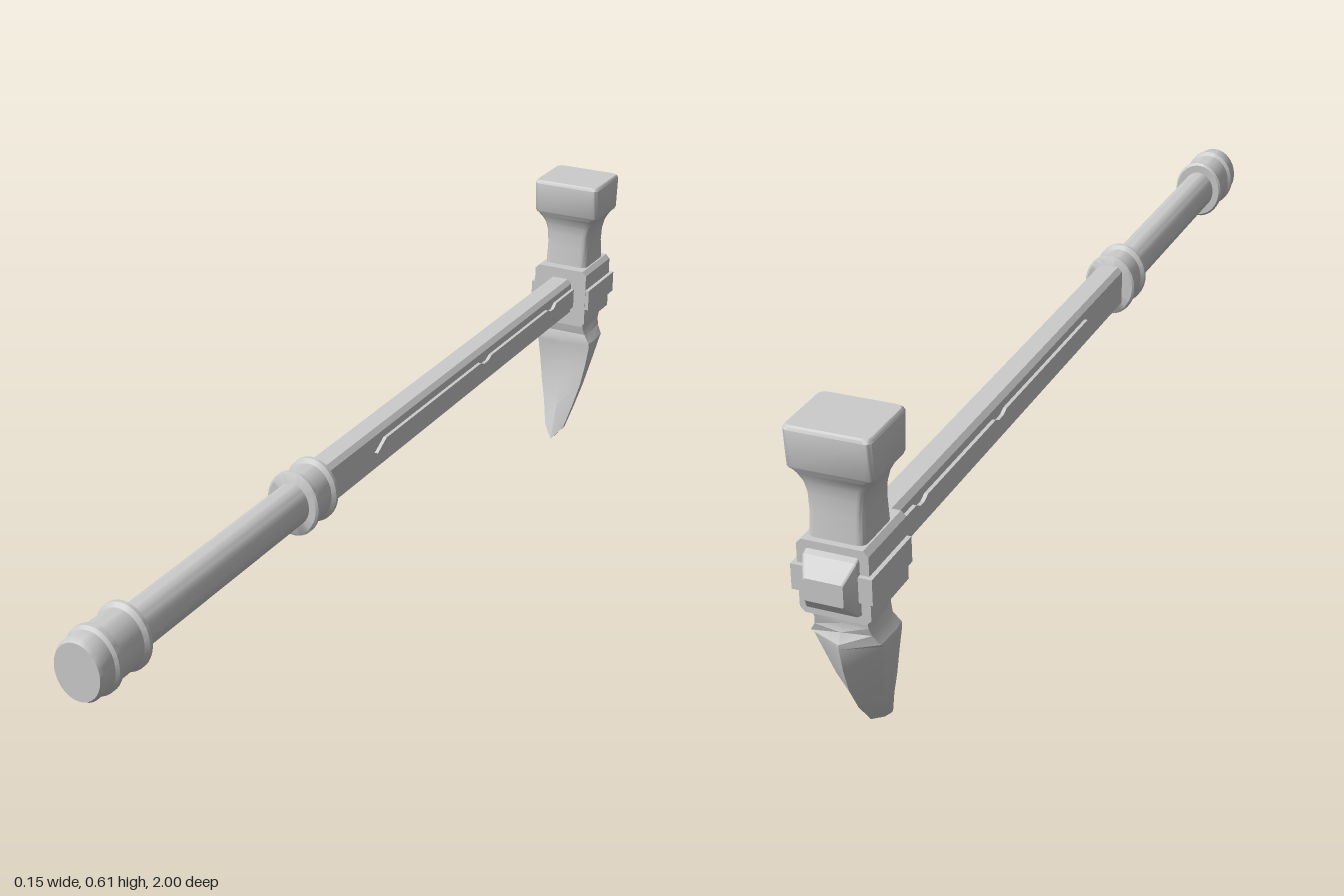
import * as THREE from 'three';
import { toCreasedNormals } from 'three/addons/utils/BufferGeometryUtils.js';

const AXIS_Y = 0.352; // height of the handle axis
const HEAD_Z = -0.903; // centre of the hammer head
const material = new THREE.MeshStandardMaterial({ color: 0xcccccc, side: THREE.DoubleSide });

function add(parent, name, geometry, crease = 0.6) {
  const mesh = new THREE.Mesh(toCreasedNormals(geometry, crease), material);
  mesh.name = name;
  parent.add(mesh);
  return mesh;
}

// Skin a stack of equal-length rings (counter-clockwise seen from +y), with end caps
function loft(rings) {
  const n = rings[0].length, last = (rings.length - 1) * n, index = [];
  for (let i = 0; i < rings.length - 1; i++) {
    for (let j = 0; j < n; j++) {
      const a = i * n + j, b = i * n + (j + 1) % n;
      index.push(a, b, b + n, a, b + n, a + n);
    }
  }
  for (let j = 1; j < n - 1; j++) {
    index.push(0, j + 1, j, last, last + j, last + j + 1);
  }
  const geometry = new THREE.BufferGeometry();
  geometry.setAttribute('position', new THREE.Float32BufferAttribute(rings.flat(2), 3));
  geometry.setIndex(index);
  return geometry;
}

// Rounded rectangle ring at height y
function roundedRing(y, hx, hz, r, z = 0, steps = 4) {
  const ring = [];
  [[1, 1], [-1, 1], [-1, -1], [1, -1]].forEach(([sx, sz], k) => {
    for (let i = 0; i <= steps; i++) {
      const a = (k + i / steps) * Math.PI / 2;
      ring.push([sx * (hx - r) + r * Math.cos(a), y, z - sz * (hz - r) - r * Math.sin(a)]);
    }
  });
  return ring;
}

// Oval turned part along z from [radius, z] pairs
function turned(profile) {
  const points = profile.map(([r, z]) => new THREE.Vector2(r, z));
  return new THREE.LatheGeometry(points, 40).rotateX(Math.PI / 2).scale(1, 1.2, 1).translate(0, AXIS_Y, 0);
}

// Bar along z with chamfered corners
function chamferedBar(hx, hy, c, z0, z1) {
  const shape = new THREE.Shape([
    [hx, -hy + c], [hx, hy - c], [hx - c, hy], [-hx + c, hy],
    [-hx, hy - c], [-hx, -hy + c], [-hx + c, -hy], [hx - c, -hy],
  ].map(([x, y]) => new THREE.Vector2(x, y)));
  return new THREE.ExtrudeGeometry(shape, { depth: z1 - z0, bevelEnabled: false }).translate(0, AXIS_Y, z0);
}

export function createModel() {
  const model = new THREE.Group();
  model.name = 'warHammer';

  // Handle
  const handle = new THREE.Group();
  handle.name = 'handle';
  model.add(handle);
  add(handle, 'grip', turned([[0, 0.28], [0.035, 0.28], [0.035, 0.9], [0, 0.9]]));
  add(handle, 'pommel', turned([
    [0, 0.866], [0.049, 0.866], [0.053, 0.87], [0.053, 0.877], [0.047, 0.884], [0.047, 0.945],
    [0.053, 0.95], [0.053, 0.96], [0.048, 0.965], [0.048, 0.992], [0.044, 1], [0, 1],
  ]));
  add(handle, 'collar', turned([
    [0, 0.272], [0.049, 0.272], [0.053, 0.275], [0.053, 0.282], [0.046, 0.288],
    [0.046, 0.334], [0.053, 0.34], [0.053, 0.347], [0.049, 0.35], [0, 0.35],
  ]));
  add(handle, 'shaft', chamferedBar(0.027, 0.043, 0.009, -0.85, 0.29), 0.3);

  // Raised, notched inlay showing on both sides of the shaft
  const edge = [
    [0.09, 0], [0.055, 0.019], [-0.355, 0.019], [-0.37, 0.012], [-0.39, 0.012], [-0.405, 0.019],
    [-0.69, 0.019], [-0.705, 0.012], [-0.72, 0.012], [-0.735, 0.021], [-0.85, 0.021],
  ];
  const lower = edge.slice(1).reverse().map(([z, y]) => [z, -y]);
  const inlay = new THREE.Shape([...edge, ...lower].map(([z, y]) => new THREE.Vector2(z, y)));
  add(handle, 'sideInlay', new THREE.ExtrudeGeometry(inlay, { depth: 0.068, bevelEnabled: false })
    .translate(0, 0, -0.034).rotateY(-Math.PI / 2).translate(0, AXIS_Y, 0), 0.3);

  // Head socket
  const head = new THREE.Group();
  head.name = 'head';
  model.add(head);
  add(head, 'socket', chamferedBar(0.062, 0.066, 0.009, -0.965, -0.83), 0.3);
  add(head, 'socketBand', new THREE.BoxGeometry(0.14, 0.046, 0.142).translate(0, AXIS_Y, -0.902));
  add(head, 'backPlate', loft([
    roundedRing(0.955, 0.046, 0.056, 0.004), roundedRing(0.975, 0.046, 0.048, 0.004),
    roundedRing(1, 0.034, 0.02, 0.004),
  ]).rotateX(-Math.PI / 2).translate(0, AXIS_Y, 0), 0.3);

  // Hammer: flared neck and rounded striking block
  add(head, 'hammerNeck', loft([
    [0.41, 0.05, 0.051], [0.46, 0.049, 0.047], [0.49, 0.051, 0.046], [0.51, 0.056, 0.048],
    [0.525, 0.064, 0.053], [0.537, 0.074, 0.058],
  ].map(([y, hx, hz]) => roundedRing(y, hx, hz, 0.014, HEAD_Z))));
  add(head, 'hammerFace', loft([
    [0.536, 0.074, 0.058], [0.54, 0.0755, 0.06], [0.605, 0.0755, 0.066], [0.609, 0.074, 0.064], [0.612, 0.071, 0.061],
  ].map(([y, hx, hz]) => roundedRing(y, hx, hz, 0.012, HEAD_Z))));

  // Curved pick: [y, half width, front z, back z, front ridge height, back corner width, back corner depth]
  const pick = [
    [0.002, 0.001, -0.811, -0.814, 0, 0.5, 0.6],
    [0.03, 0.024, -0.828, -0.864, 0.009, 0.75, 0.45],
    [0.08, 0.037, -0.845, -0.905, 0.008, 0.8, 0.45],
    [0.13, 0.05, -0.856, -0.934, 0.005, 0.85, 0.5],
    [0.18, 0.059, -0.862, -0.951, 0, 0.9, 0.55],
    [0.225, 0.066, -0.863, -0.961, 0, 0.93, 0.65],
    [0.234, 0.065, -0.862, -0.961, 0, 0.95, 0.75],
    [0.252, 0.052, -0.867, -0.951, 0, 0.97, 0.9],
    [0.268, 0.047, -0.863, -0.948, 0, 1, 1],
    [0.295, 0.05, -0.858, -0.952, 0, 1, 1],
  ];
  add(head, 'pick', loft(pick.map(([y, w, zf, zb, ridge, bw, bd]) => {
    const zc = zf + (zb - zf) * bd;
    return [
      [0, y, zf + ridge], [w * 0.96, y, zf], [w, y, zf + (zc - zf) * 0.35], [w * bw, y, zc],
      [0, y, zb], [-w * bw, y, zc], [-w, y, zf + (zc - zf) * 0.35], [-w * 0.96, y, zf],
    ];
  })), 0.4);

  return model;
}
